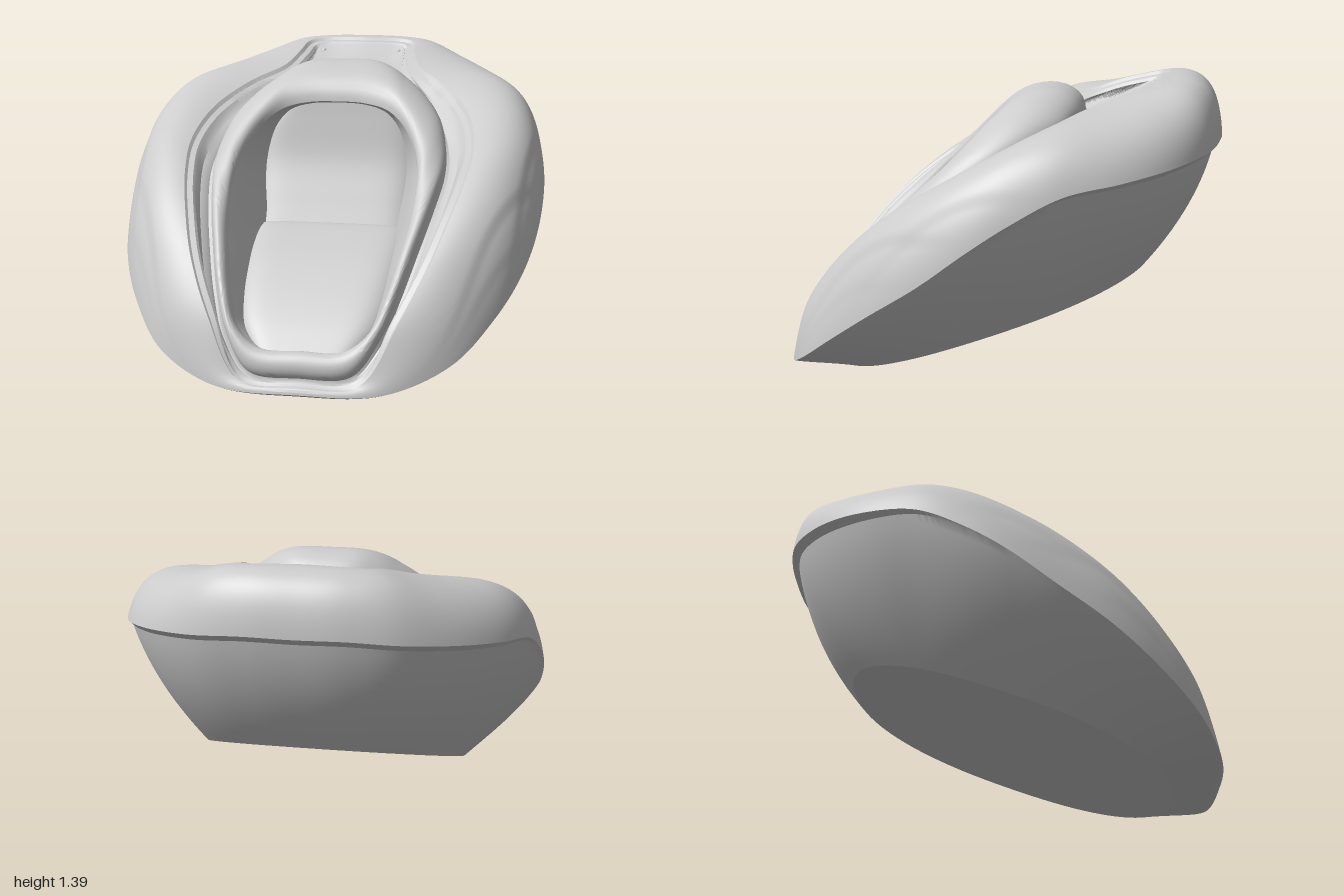
import * as THREE from 'three';
import { toCreasedNormals } from 'three/addons/utils/BufferGeometryUtils.js';

const V = (x, y, z) => new THREE.Vector3(x, y, z);
const { lerp, clamp, smoothstep } = THREE.MathUtils;
const STEPS = 8, HALF = 13, COUNT = STEPS * HALF * 2;
const OUT = V(0, 0.69, 0.72); // direction the cockpit opening faces
const UP = V(0, 1, 0);

// Half outlines from the back centre, round the left side, to the front centre.
const outline = (rows) => rows.map((r) => V(...r));
const rim = outline([
  [0, 1.13, -1], [0.22, 1.13, -0.99], [0.44, 1.11, -0.935], [0.66, 1.08, -0.785], [0.82, 1.045, -0.58],
  [0.915, 1.0, -0.34], [0.96, 0.89, -0.13], [0.975, 0.77, 0.05], [0.955, 0.61, 0.26], [0.895, 0.46, 0.48],
  [0.795, 0.32, 0.665], [0.63, 0.165, 0.85], [0.36, 0.06, 0.97], [0, 0.05, 1]]);
const groove = outline([
  [0, 1.385, -0.76], [0.2, 1.38, -0.76], [0.27, 1.37, -0.72], [0.295, 1.33, -0.55], [0.34, 1.275, -0.4],
  [0.48, 1.21, -0.24], [0.61, 1.11, -0.03], [0.66, 0.99, 0.2], [0.64, 0.875, 0.39], [0.59, 0.735, 0.57],
  [0.52, 0.56, 0.74], [0.41, 0.345, 0.885], [0.26, 0.095, 0.965], [0, 0.08, 0.975]]);
const foot = outline([
  [0, 1.21, -0.37], [0.12, 1.21, -0.36], [0.2, 1.2, -0.335], [0.29, 1.18, -0.285], [0.41, 1.13, -0.15],
  [0.49, 1.06, 0], [0.525, 0.97, 0.14], [0.53, 0.88, 0.28], [0.5, 0.76, 0.44], [0.45, 0.6, 0.61],
  [0.395, 0.43, 0.76], [0.33, 0.26, 0.87], [0.22, 0.12, 0.935], [0, 0.105, 0.945]]);
const lip = outline([
  [0, 1.155, 0.035], [0.13, 1.15, 0.04], [0.24, 1.125, 0.065], [0.32, 1.07, 0.12], [0.37, 1.0, 0.18],
  [0.405, 0.92, 0.26], [0.42, 0.84, 0.36], [0.415, 0.75, 0.45], [0.4, 0.65, 0.54], [0.37, 0.53, 0.65],
  [0.335, 0.4, 0.75], [0.285, 0.28, 0.84], [0.18, 0.205, 0.88], [0, 0.2, 0.88]]);
const baseY = (z) => (0.78 - z) * 0.374;
const blunt = (t) => Math.sign(t) * Math.abs(t) ** 0.85;
const base = rim.map((_, k) => {
  const a = (k * Math.PI) / HALF, z = 0.045 - 0.735 * blunt(Math.cos(a));
  return V(k === HALF ? 0 : 0.61 * blunt(Math.sin(a)), baseY(z), z);
});

// Mirrors a half outline and samples it as a smooth closed ring.
function ring(half) {
  const mirrored = half.slice(1, -1).reverse().map((p) => V(-p.x, p.y, p.z));
  const curve = new THREE.CatmullRomCurve3([...half, ...mirrored], true);
  return Array.from({ length: COUNT }, (_, j) => curve.getPoint(j / COUNT));
}

// Skins a list of rings, ordered from the inside outwards.
function loft(name, rings, material, crease = 0.5) {
  const pos = rings.flat().flatMap((p) => [p.x, p.y, p.z]);
  const index = [];
  for (let i = 0; i < rings.length - 1; i++) {
    for (let j = 0; j < COUNT; j++) {
      const n = (j + 1) % COUNT;
      const a = i * COUNT + j, b = i * COUNT + n, c = a + COUNT, d = b + COUNT;
      index.push(a, b, c, b, d, c);
    }
  }
  const geo = new THREE.BufferGeometry();
  geo.setAttribute('position', new THREE.Float32BufferAttribute(pos, 3));
  geo.setIndex(index);
  const mesh = new THREE.Mesh(toCreasedNormals(geo, crease), material);
  mesh.name = name;
  return mesh;
}

const bezier = (a, c, b, s) => a.clone().multiplyScalar((1 - s) ** 2)
  .addScaledVector(c, 2 * s * (1 - s)).addScaledVector(b, s * s);
const range = (n) => Array.from({ length: n + 1 }, (_, i) => i / n);
// Station along the half outline, 0 at the back and 13 at the front.
const station = (j) => Math.min(j, COUNT - j) / STEPS;
// 1 behind the cockpit, fading to 0 along the sides, and the surface direction there.
const backness = (j) => 1 - smoothstep(station(j), 1, 7);
const facing = (j) => OUT.clone().lerp(UP, backness(j)).normalize();

// Padded surface following a side profile of [z, y, half width].
function pad(name, profile, material) {
  const path = new THREE.CatmullRomCurve3(profile.map(([z, y, w]) => V(w, y, z)));
  const geo = new THREE.PlaneGeometry(2, 1, 32, 32);
  const p = geo.attributes.position;
  for (let i = 0; i < p.count; i++) {
    const u = p.getX(i), q = path.getPoint(0.5 - p.getY(i));
    const curl = 0.05 * Math.abs(u) ** 8;
    p.setXYZ(i, u * q.x, q.y - curl * OUT.y, q.z - curl * OUT.z);
  }
  geo.computeVertexNormals();
  const mesh = new THREE.Mesh(geo, material);
  mesh.name = name;
  return mesh;
}

export function createModel() {
  const model = new THREE.Group();
  model.name = 'pod';
  const grey = new THREE.MeshStandardMaterial({ color: 0xcccccc });
  const grey2 = new THREE.MeshStandardMaterial({ color: 0xcccccc, side: THREE.DoubleSide });
  const R = ring(rim), G = ring(groove), F = ring(foot), L = ring(lip), B = ring(base);

  // Cockpit wall, running back into the hull and narrowing
  const tub = [[0.76, 0.32], [0.87, 0.16], [0.93, 0.08], [0.98, 0.02], [1, 0]].map(([k, depth]) =>
    L.map((p) => V(p.x * k, p.y - 0.3 * depth, p.z - 0.95 * depth)));
  model.add(loft('cockpitWall', tub, grey2, 0.8));

  // Rounded collar, tallest behind the opening
  const collar = range(16).map((t) => L.map((l, j) => {
    const lift = (0.055 + 0.09 * backness(j)) * Math.sin(Math.PI * t);
    return l.clone().lerp(F[j], (1 - Math.cos(Math.PI * t)) / 2).addScaledVector(facing(j), lift);
  }));
  model.add(loft('collar', collar, grey, 0.8));

  // Sunken channel and rear plate: moat by the collar [share of the gap, drop],
  // then a stepped outer edge [inset, drop]
  const gaps = G.map((g, j) => g.distanceTo(F[j]));
  const moat = [[1, 0], [0.96, 0.035], [0.85, 0.045], [0.72, 0.035], [0.55, 0.035]].map(([s, drop]) =>
    G.map((g, j) => g.clone().lerp(F[j], s).addScaledVector(UP, -drop * Math.min(1, gaps[j] / 0.15))));
  const edge = [[0.05, 0.035], [0.038, 0.02], [0.012, 0.015], [0, 0]].map(([inset, drop]) =>
    G.map((g, j) => {
      const k = Math.min(1, gaps[j] / 0.13);
      const along = G[(j + 1) % COUNT].clone().sub(G[(j + COUNT - 1) % COUNT]);
      return g.clone().addScaledVector(along.cross(facing(j)).normalize(), inset * k)
        .addScaledVector(UP, -drop * k);
    }));
  model.add(loft('channel', [...moat, ...edge], grey));

  // Domed upper shell with shallow swept creases on the flanks: [from, to, reach, depth]
  const creases = [[5.2, 10, 0.45, 0.05], [6.8, 12, 0.6, 0.04], [8, 11.7, 0.35, 0.04]];
  const shell = range(32).map((s) => G.map((g, j) => {
    const r = R[j], f = station(j);
    const c = g.clone().lerp(r, 0.84 + 0.1 * (1 - smoothstep(f, 0, 4)));
    const swell = smoothstep(f, 2.5, 6) * (1 - smoothstep(f, 7, 13));
    c.y = lerp(g.y, r.y, 0.05) + 0.06 * (1 - smoothstep(f, 1.5, 6)) + 0.15 * swell;
    const p = bezier(g, c, r, s);
    for (const [from, to, reach, depth] of creases) {
      const t = clamp((f - from) / (to - from), 0, 1);
      const start = 1 - reach * Math.sin(Math.PI * t);
      p.addScaledVector(UP, -depth * smoothstep(s, start, start + 0.12) * (1 - s));
    }
    return p;
  }));
  model.add(loft('upperShell', shell, grey));

  // Lower hull, tucked in under the rear rim, closed by a flat sloping base
  const tucked = R.map((p, j) => {
    const k = 1 - smoothstep(station(j), 3, 7);
    return V(p.x * (1 - 0.03 * k), p.y - 0.03 * k, p.z * (1 - 0.035 * k));
  });
  const hull = range(14).map((s) => tucked.map((p, j) => {
    const c = p.clone().lerp(B[j], 0.5);
    c.x *= 1.1;
    c.z *= 1.1;
    return bezier(p, c, B[j], s);
  }));
  model.add(loft('lowerHull', [R, ...hull], grey));
  model.add(loft('base', [B, B.map(() => V(0, baseY(0.045), 0.045))], grey));

  // Seat
  model.add(pad('backrest', [[0, 1.18, 0.27], [0.02, 1.06, 0.35], [0.06, 0.88, 0.385],
    [0.13, 0.71, 0.385], [0.2, 0.56, 0.38]], grey2));
  model.add(pad('seatCushion', [[0.14, 0.57, 0.37], [0.21, 0.61, 0.37], [0.4, 0.55, 0.365],
    [0.6, 0.43, 0.35], [0.77, 0.3, 0.31], [0.88, 0.19, 0.23]], grey2));

  // Two small studs on the rear plate
  for (const side of [-1, 1]) {
    const stud = new THREE.Mesh(new THREE.SphereGeometry(0.014, 16, 10), grey);
    stud.name = side > 0 ? 'leftStud' : 'rightStud';
    stud.position.set(side * 0.195, 1.32, -0.68);
    model.add(stud);
  }
  return model;
}
